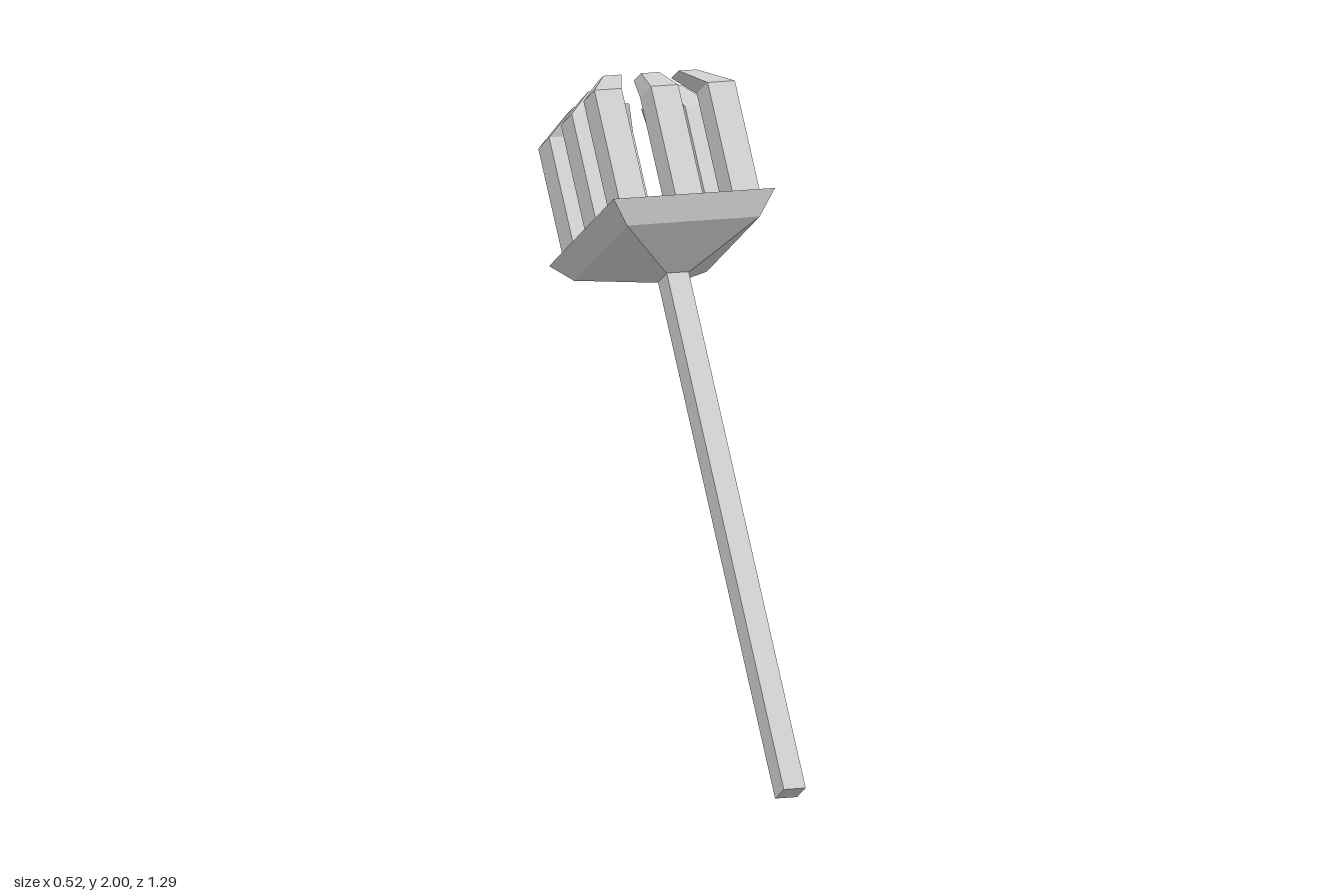
import * as THREE from 'three';

const material = new THREE.MeshStandardMaterial({ color: 0xcccccc, flatShading: true });
const CORNERS = [[1, 1], [1, -1], [-1, -1], [-1, 1]];

// Closed solid through square rings, each given as [height, half width, centre x, centre z]
function squareLoft(name, rings) {
  const points = [];
  const index = [];
  for (const [y, half, cx = 0, cz = 0] of rings) {
    for (const [sx, sz] of CORNERS) points.push(cx + sx * half, y, cz + sz * half);
  }
  for (let r = 0; r < rings.length - 1; r++) {
    for (let i = 0; i < 4; i++) {
      const a = r * 4 + i;
      const b = r * 4 + (i + 1) % 4;
      index.push(a, b, b + 4, a, b + 4, a + 4);
    }
  }
  const top = (rings.length - 1) * 4;
  index.push(0, 2, 1, 0, 3, 2, top, top + 1, top + 2, top, top + 2, top + 3);

  const indexed = new THREE.BufferGeometry();
  indexed.setAttribute('position', new THREE.Float32BufferAttribute(points, 3));
  indexed.setIndex(index);
  const geometry = indexed.toNonIndexed();
  geometry.computeVertexNormals();
  const mesh = new THREE.Mesh(geometry, material);
  mesh.name = name;
  return mesh;
}

export function createModel() {
  const model = new THREE.Group();
  model.name = 'prongedStaff';
  const plateY = 1.779;

  // Long square handle
  model.add(squareLoft('handle', [[0, 0.035], [plateY - 0.157, 0.035]]));

  // Flared head, flat on top
  model.add(squareLoft('head', [
    [plateY - 0.157, 0.038],
    [plateY - 0.068, 0.212],
    [plateY, 0.258],
  ]));

  // Eight prongs around an empty middle, their tips bent inwards
  const prongs = new THREE.Group();
  prongs.name = 'prongs';
  for (const i of [-1, 0, 1]) {
    for (const j of [-1, 0, 1]) {
      if (i === 0 && j === 0) continue;
      prongs.add(squareLoft('prong', [
        [plateY, 0.0435, i * 0.181, j * 0.181],
        [plateY + 0.353, 0.0435, i * 0.181, j * 0.181],
        [plateY + 0.424, 0.029, i * 0.12, j * 0.12],
      ]));
    }
  }
  model.add(prongs);

  // The whole staff leans backwards
  model.rotation.x = -Math.PI / 6;
  model.position.set(0, 0.0175, 0.616);
  const root = new THREE.Group();
  root.add(model);
  return root;
}
